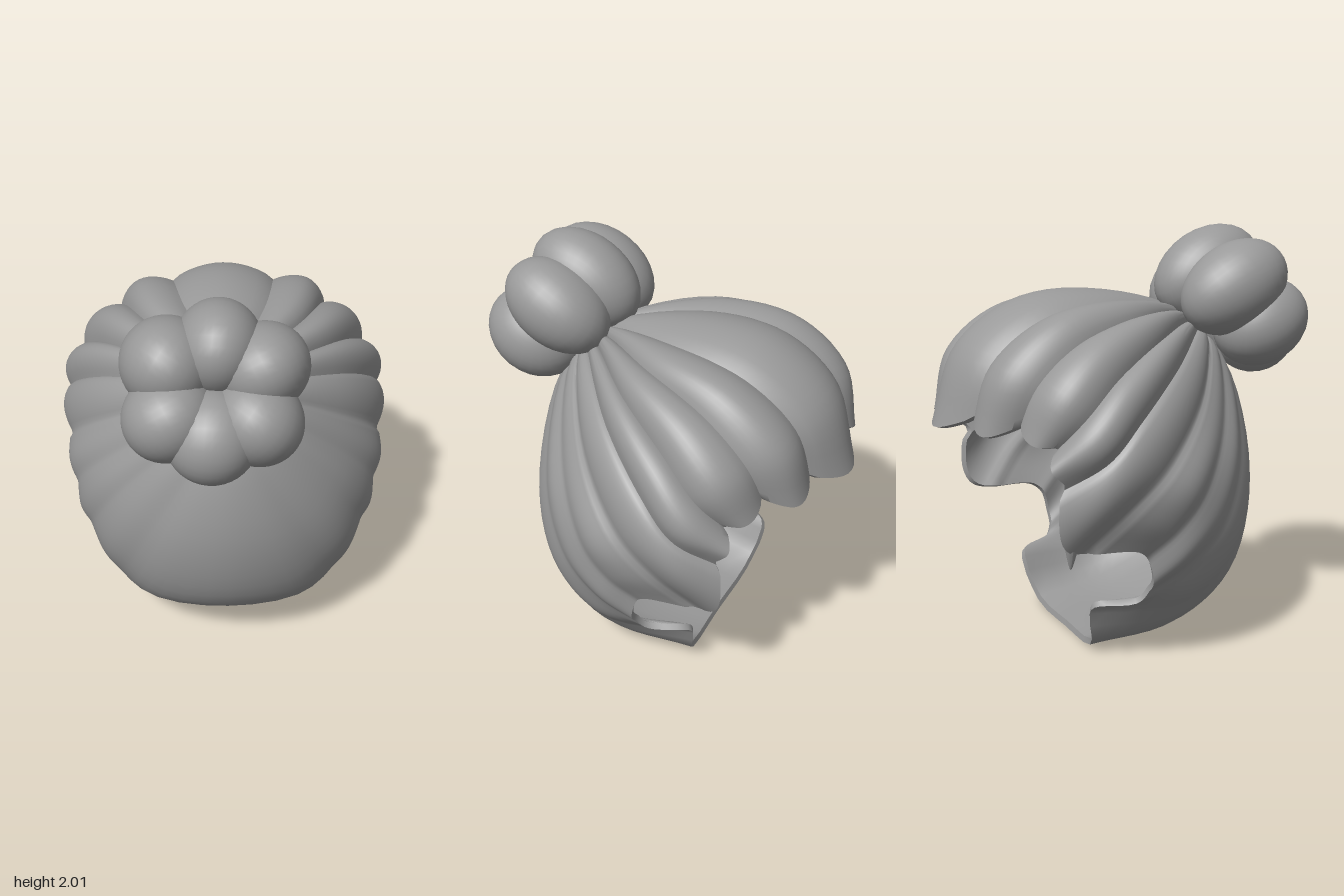
import * as THREE from 'three';
import { toCreasedNormals } from 'three/addons/utils/BufferGeometryUtils.js';

const hair = new THREE.MeshStandardMaterial({ color: 0x999999 });
hair.name = 'hair grey';
const V = (x, y, z) => new THREE.Vector3(x, y, z);

// Flow lines of the +x half, crown to nape: four points each, ending on the rim.
const FLOW = [
  [0, 1.69, -.12, 0, 1.66, -.5, 0, 1.45, -.8, 0, 1.08, -.93],
  [.31, 1.65, -.10, .41, 1.59, -.48, .42, 1.38, -.74, .38, 1.09, -.82],
  [.46, 1.57, 0, .64, 1.46, -.32, .70, 1.28, -.53, .62, 1.07, -.65],
  [.55, 1.42, .06, .77, 1.24, -.23, .82, 1.07, -.41, .73, .95, -.61],
  [.57, 1.25, .16, .79, 1.00, -.13, .81, .83, -.34, .70, .61, -.54],
  [.56, 1.11, .27, .76, .86, .07, .76, .70, -.06, .70, .57, -.19],
  [.54, 1.00, .37, .70, .72, .20, .73, .55, .03, .68, .42, -.12],
  [.48, .90, .46, .63, .59, .30, .66, .42, .08, .61, .31, -.15],
  [.38, .82, .54, .53, .46, .38, .58, .27, .10, .49, .26, -.34],
  [.23, .78, .62, .36, .34, .46, .43, .12, .12, .38, .05, -.30],
  [0, .78, .66, 0, .34, .54, 0, .08, .16, 0, .01, -.28],
];
const KNOT = V(0, 1.42, .44);
const CENTRE = V(0, .85, -.05);
const ROWS = 28, PER_STRAND = 12, THICKNESS = .03;

// Strand borders (in flow-line units), with crease depth, crease softness and rim scallop.
const BORDERS = [.62, 1.45, 2.35, 3.2, 4.3, 5.4, 6.6, 8.2];
const DEPTH = [.06, .065, .065, .06, .045, .02, .015, .012, .012];
const POWER = [.8, .8, .8, .8, .9, 1.5, 1.5, 1.5, 1];
const SCALLOP = [.05, .06, .06, .03, 0, 0, 0, 0, 0];

function flowLines() {
  const half = FLOW.map((f, i) => {
    const a = Math.PI * i / 10;
    const pts = [KNOT.clone(), V(.16 * Math.sin(a), 1.42 + .15 * Math.cos(a), .45 - .12 * Math.cos(a))];
    for (let k = 0; k < 12; k += 3) pts.push(V(f[k], f[k + 1], f[k + 2]));
    return pts;
  });
  const mirrored = half.slice(1, 10).reverse().map(l => l.map(p => V(-p.x, p.y, p.z)));
  return [...half, ...mirrored].map(l => new THREE.CatmullRomCurve3(l));
}

function hairShell() {
  const lines = flowLines();
  const n = BORDERS.length;
  const edges = [-BORDERS[0], ...BORDERS, ...BORDERS.map(b => 20 - b).reverse()];
  const cols = [];
  for (let s = 0; s < edges.length - 1; s++) {
    const kind = s <= n ? s : 2 * n - s;
    for (let k = 0; k < PER_STRAND; k++) {
      const f = k / PER_STRAND;
      cols.push({
        u: (edges[s] + (edges[s + 1] - edges[s]) * f + 20) % 20,
        lobe: Math.pow(Math.sin(Math.PI * f), POWER[kind]),
        depth: DEPTH[kind], scallop: SCALLOP[kind],
      });
    }
  }
  // Neighbouring strands share the mean depth at their border.
  cols.forEach((c, i) => {
    if (c.lobe > 1e-6) return;
    const prev = cols[(i + cols.length - 1) % cols.length];
    c.depth = (c.depth + prev.depth) / 2;
    c.scallop = (c.scallop + prev.scallop) / 2;
  });

  // Outer rows run knot to rim, inner rows return from rim to knot.
  const outer = [], inner = [];
  for (let j = 0; j <= ROWS; j++) {
    const t = .03 + .97 * j / ROWS;
    outer.push([]); inner.push([]);
    for (const c of cols) {
      const tt = t * (1 - c.scallop * (1 - c.lobe) * t * t);
      const ring = new THREE.CatmullRomCurve3(
        [-1, 0, 1, 2].map(d => lines[(Math.floor(c.u) + d + 20) % 20].getPoint(tt)));
      const p = ring.getPoint((1 + c.u % 1) / 3);
      const out = p.clone().sub(CENTRE).normalize();
      p.addScaledVector(out, .012 - c.depth * (1 - c.lobe) * Math.min(1, t * 1.8));
      outer[j].push(p);
      inner[j].push(p.clone().addScaledVector(out, -THICKNESS));
    }
  }
  const rows = [...outer, ...inner.reverse()];
  const m = cols.length, index = [];
  for (let j = 0; j < rows.length - 1; j++)
    for (let i = 0; i < m; i++) {
      const a = j * m + i, b = j * m + (i + 1) % m;
      index.push(a, b, a + m, b, b + m, a + m);
    }
  const g = new THREE.BufferGeometry().setFromPoints(rows.flat());
  g.setIndex(index);
  return toCreasedNormals(g, .8);
}

function add(parent, name, geometry) {
  const mesh = new THREE.Mesh(geometry, hair);
  mesh.name = name;
  parent.add(mesh);
  return mesh;
}

export function createModel() {
  const model = new THREE.Group();
  model.name = 'hairWithBun';
  add(model, 'hairShell', hairShell());

  // Bun: plump lobes around a tilted axis; angle, half width, distance from axis, half length, offset
  const bun = new THREE.Group();
  bun.name = 'bun';
  bun.position.set(-.065, 1.6, .57);
  bun.rotation.x = -Math.PI / 6;
  const lobes = [
    [84, .2, .195, .295, 0], [26, .2, .235, .28, .01], [-34, .2, .22, .25, .045],
    [-94, .21, .19, .22, .07], [-152, .2, .22, .25, .045], [148, .21, .235, .29, 0],
  ];
  for (const [deg, width, dist, length, offset] of lobes) {
    const a = deg * Math.PI / 180;
    const lobe = add(bun, 'bunLobe', new THREE.SphereGeometry(1, 28, 20));
    lobe.scale.set(.215, width, length);
    lobe.position.set(dist * Math.cos(a), dist * Math.sin(a), offset);
    lobe.rotation.z = a;
  }
  model.add(bun);

  // Loose lock hanging in front of one ear, tapering to its tip
  const lockShape = new THREE.SphereGeometry(1, 16, 14);
  const p = lockShape.attributes.position;
  for (let i = 0; i < p.count; i++) {
    const taper = .65 + .35 * p.getY(i);
    p.setX(i, p.getX(i) * taper);
    p.setZ(i, p.getZ(i) * taper);
  }
  lockShape.computeVertexNormals();
  const lock = add(model, 'looseLock', lockShape);
  lock.scale.set(.04, .15, .06);
  lock.position.set(-.69, .67, -.52);
  lock.rotation.z = .12;
  return model;
}
